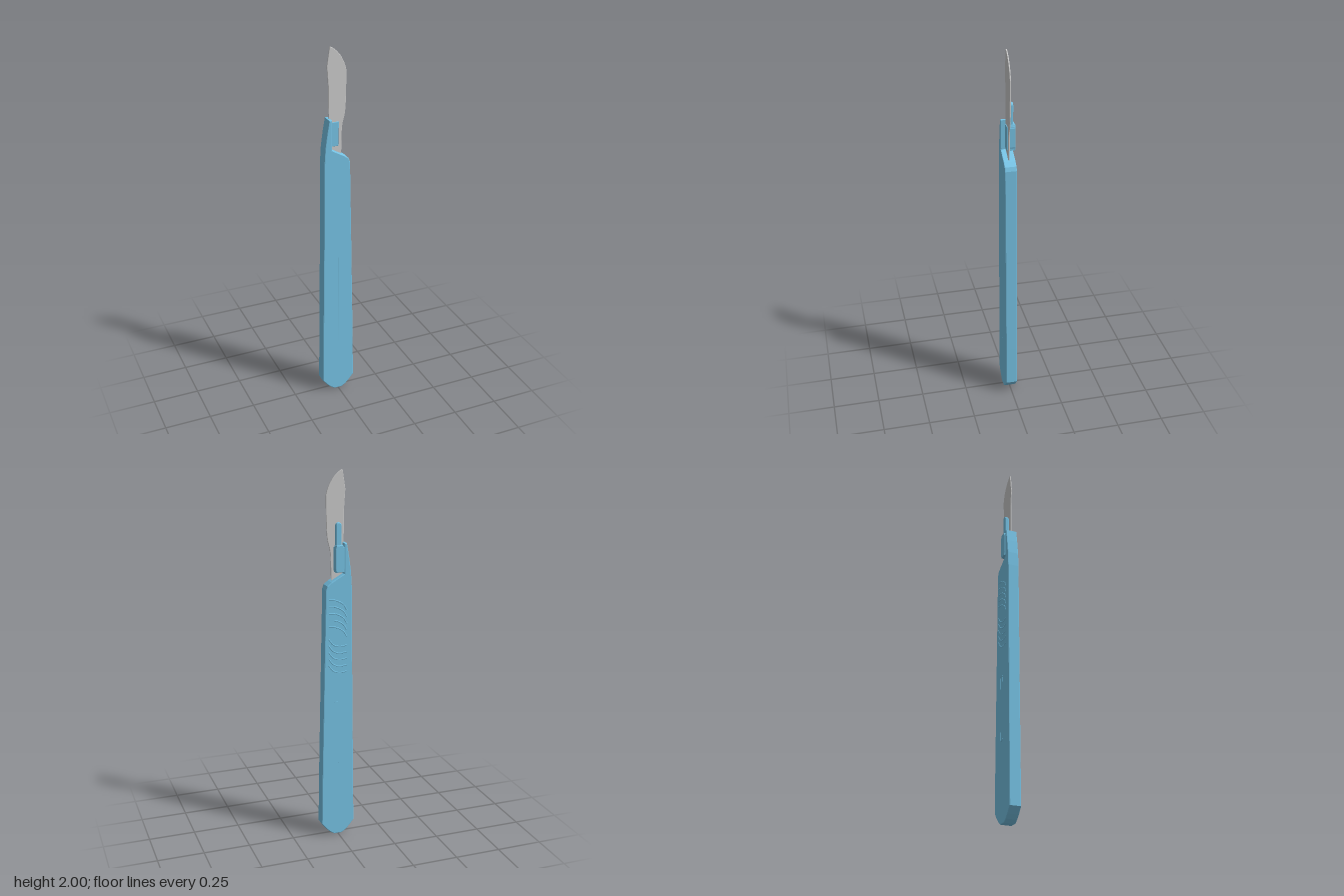
import * as THREE from 'three';

const blue = new THREE.MeshStandardMaterial({ color: 0x77c4e6 });
const grey = new THREE.MeshStandardMaterial({ color: 0xcccccc });

const v2 = (pts) => pts.map(([x, y]) => new THREE.Vector2(x, y));

// Plate with the given outline between z0 and z1, with edges bevelled inwards
function plate(name, shape, z0, z1, bevel, material) {
  const geo = new THREE.ExtrudeGeometry(shape, {
    depth: z1 - z0 - 2 * bevel, bevelEnabled: bevel > 0, bevelSize: bevel,
    bevelThickness: bevel, bevelOffset: -bevel, bevelSegments: 2, curveSegments: 12,
  });
  geo.translate(0, 0, z0 + bevel);
  const mesh = new THREE.Mesh(geo, material);
  mesh.name = name;
  return mesh;
}

// Thin raised line on a face of the handle
function ridge(name, pts, z, radius) {
  const curve = new THREE.CatmullRomCurve3(pts.map(([x, y]) => new THREE.Vector3(x, y, 0)));
  const mesh = new THREE.Mesh(new THREE.TubeGeometry(curve, 16, radius, 6), blue);
  mesh.scale.z = 0.6;
  mesh.position.z = z;
  mesh.name = name;
  return mesh;
}

function roundedSlot(Type, x, y0, y1, r) {
  const s = new Type();
  s.absarc(x, y1 - r, r, 0, Math.PI, false);
  s.absarc(x, y0 + r, r, Math.PI, 2 * Math.PI, false);
  s.closePath();
  return s;
}

export function createModel() {
  const model = new THREE.Group();
  model.name = 'scalpel';

  // Tapered handle with a notched shoulder and a tang beside the blade
  const outline = new THREE.Shape(v2([
    [-0.022, 0], [0.022, 0], [0.045, 0.015], [0.065, 0.035], [0.093, 0.07],
    [0.09, 0.3], [0.077, 0.9], [0.066, 1.39], [0.058, 1.412], [0.035, 1.43],
    [-0.035, 1.47], [-0.035, 1.63], [-0.049, 1.63], [-0.061, 1.56],
    [-0.072, 1.48], [-0.077, 1.4], [-0.082, 0.9], [-0.09, 0.3],
    [-0.093, 0.07], [-0.065, 0.035], [-0.045, 0.015],
  ]));
  model.add(plate('handle', outline, -0.03, 0.033, 0.004, blue));

  // Curved blade with a mounting slot
  const b = new THREE.Shape();
  b.moveTo(-0.035, 2);
  b.bezierCurveTo(0.005, 1.985, 0.045, 1.93, 0.055, 1.87);
  b.lineTo(0.053, 1.74);
  b.bezierCurveTo(0.051, 1.66, 0.046, 1.64, 0.042, 1.625);
  b.quadraticCurveTo(0.03, 1.59, 0.03, 1.54);
  b.lineTo(0.027, 1.425);
  b.lineTo(-0.04, 1.465);
  b.lineTo(-0.043, 1.8);
  b.lineTo(-0.05, 1.9);
  b.closePath();
  b.holes.push(new THREE.Path(v2([[-0.034, 1.485], [-0.034, 1.612], [0.016, 1.612], [0.016, 1.485]])));
  model.add(plate('blade', b, -0.001, 0.006, 0.0025, grey));

  // Boss passing through the blade slot
  const boss = new THREE.Shape(v2([[-0.036, 1.48], [0.012, 1.48], [0.012, 1.61], [-0.036, 1.61]]));
  model.add(plate('bladeBoss', boss, -0.03, 0.01, 0.002, blue));

  // Clip on the back: broad foot and a narrow rounded finger
  const clip = new THREE.Shape(v2([
    [-0.03, 1.48], [0.01, 1.48], [0.014, 1.5], [0.014, 1.6], [0.008, 1.62],
    [-0.028, 1.62], [-0.034, 1.6], [-0.034, 1.5],
  ]));
  model.add(plate('clipFoot', clip, -0.034, -0.001, 0.003, blue));
  model.add(plate('clipFinger', roundedSlot(THREE.Shape, -0.008, 1.5, 1.735, 0.015), -0.024, -0.001, 0.004, blue));

  // Two sets of curved grip lines on the back
  for (let i = 0; i < 5; i++) {
    const y = 1.34 - i * 0.036;
    model.add(ridge('upperGrip', [[0.05, y], [0.01, y - 0.006], [-0.03, y - 0.03], [-0.048, y - 0.06]], -0.03, 0.004));
    const w = 1.13 - i * 0.036;
    model.add(ridge('lowerGrip', [[0.052, w], [0.025, w - 0.033], [-0.01, w - 0.045], [-0.05, w - 0.04]], -0.03, 0.004));
  }

  // Raised slot rim on the back and a fine centre line on the front
  const rim = roundedSlot(THREE.Shape, 0.008, 0.42, 0.78, 0.015);
  rim.holes.push(roundedSlot(THREE.Path, 0.008, 0.424, 0.776, 0.011));
  model.add(plate('backSlotRim', rim, -0.032, -0.028, 0, blue));
  model.add(ridge('frontCentreLine', [[0, 0.32], [0, 0.55], [0, 0.85]], 0.033, 0.003));

  return model;
}
